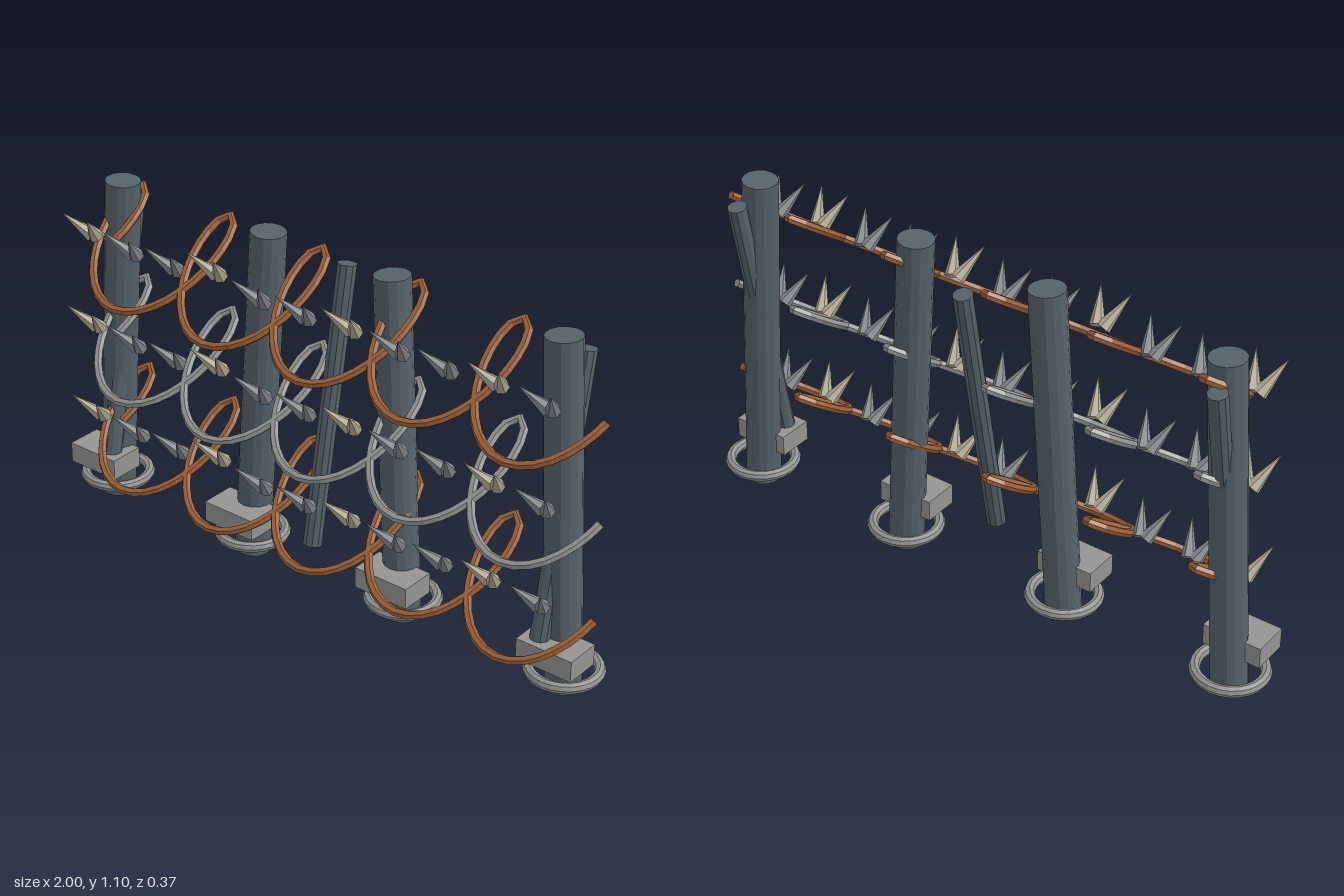
import * as THREE from 'three';

const mat = (name, color, flatShading = true) => {
  const m = new THREE.MeshStandardMaterial({ color, flatShading });
  m.name = name;
  return m;
};

// Planar looping wire: a trochoid lying in a plane that leans backwards
class LoopingWire extends THREE.Curve {
  getPoint(u, target = new THREE.Vector3()) {
    const turns = 5 * u, a = turns * Math.PI * 2;
    return target.set(
      -0.892 + 0.353 * turns + 0.117 * Math.cos(a),
      0.12 * Math.sin(a),
      0.0125 - 0.163 * Math.sin(a));
  }
}

export function createModel() {
  const group = new THREE.Group();
  group.name = 'wireBarricade';
  const slate = mat('slate post', 0x55626a);
  const copper = mat('rusty wire', 0x9c6039);
  const steel = mat('steel', 0x929494);
  const blockGrey = mat('block grey', 0x949492);
  const spikeGrey = mat('spike grey', 0x858a8d);
  const bone = mat('bone', 0xb3ad97);

  const add = (name, geo, material, parent = group) => {
    const m = new THREE.Mesh(geo, material);
    m.name = name;
    parent.add(m);
    return m;
  };
  const UP = new THREE.Vector3(0, 1, 0);
  // Cylinder or cone running from a to b
  const rod = (name, a, b, r0, r1, sides, material, parent) => {
    const A = new THREE.Vector3(...a), B = new THREE.Vector3(...b);
    const d = B.clone().sub(A);
    const m = add(name, new THREE.CylinderGeometry(r1, r0, d.length(), sides), material, parent);
    m.position.copy(A).add(B).multiplyScalar(0.5);
    m.quaternion.setFromUnitVectors(UP, d.normalize());
    return m;
  };

  // Leaning posts, each with a foot block and a ring
  const ringGeo = new THREE.TorusGeometry(0.102, 0.017, 8, 24).rotateX(Math.PI / 2);
  const blockGeo = new THREE.BoxGeometry(0.187, 0.067, 0.115);
  [[-0.88, -0.815], [-0.308, -0.24], [0.28, 0.211], [0.856, 0.787]].forEach(([x0, x1]) => {
    rod('post', [x0, 0.003, -0.064], [x1, 1.092, -0.075], 0.055, 0.055, 14, slate);
    add('footBlock', blockGeo, blockGrey).position.set(x0, 0.148, -0.01);
    add('footRing', ringGeo, steel).position.set(x0, 0.065, -0.063);
  });

  // Thin braces leaning backwards
  for (const x of [-0.837, -0.013, 0.81]) {
    rod('brace', [x, 0.163, 0.003], [x, 1.03, -0.155], 0.03, 0.03, 10, slate);
  }

  // Three rows of looping wire with paired spikes
  const curve = new LoopingWire();
  const wireGeo = new THREE.TubeGeometry(curve, 120, 0.0135, 6);
  const capGeo = new THREE.CircleGeometry(0.0135, 6);
  const Z = new THREE.Vector3(0, 0, 1);
  [0.317, 0.626, 0.935].forEach((y, row) => {
    const wireMat = row === 1 ? steel : copper;
    const wire = new THREE.Group();
    wire.name = 'wireRow';
    wire.position.y = y;
    group.add(wire);
    add('wire', wireGeo, wireMat, wire);
    for (const u of [0, 1]) {
      const cap = add('wireEnd', capGeo, wireMat, wire);
      cap.position.copy(curve.getPoint(u));
      cap.quaternion.setFromUnitVectors(Z, curve.getTangent(u).multiplyScalar(u ? 1 : -1));
    }
    for (let i = 0; i < 11; i++) {
      const x = -0.013 + (i - 5) * 0.1668;
      const lift = i === 3 ? 0.035 : i % 3 === 0 ? 0.015 : 0;
      for (const s of [-1, 1]) {
        rod('spike', [x + s * 0.01, -0.012 + lift, 0.028], [x + s * 0.052, 0.075 + lift, 0.106],
          0.023, 0, 6, i % 3 === 0 ? bone : spikeGrey, wire);
      }
    }
  });
  return group;
}
